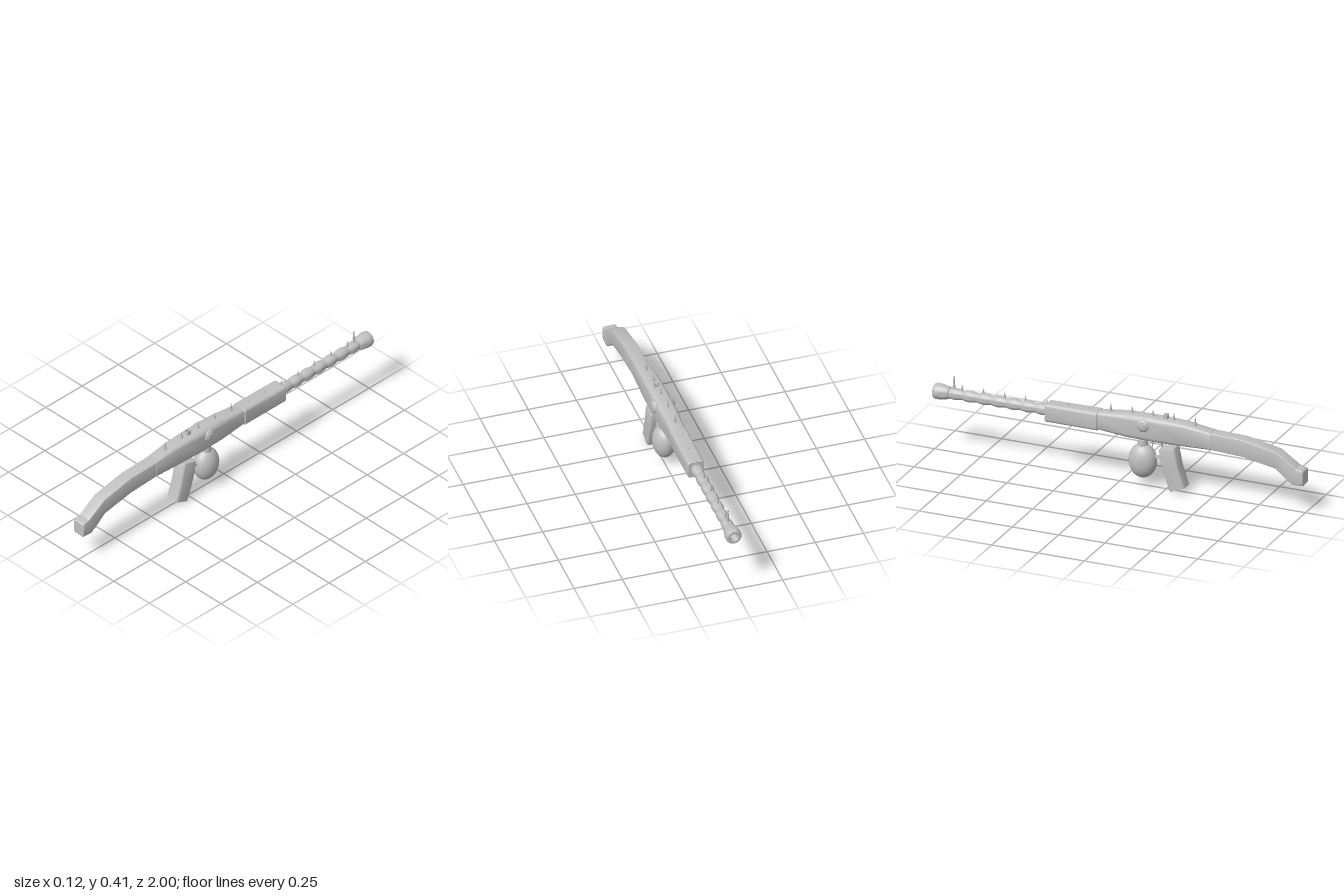
import * as THREE from 'three';
import { toCreasedNormals } from 'three/addons/utils/BufferGeometryUtils.js';

const AXIS_Y = 0.315; // height of the barrel axis

// Rounded cross-sections, each [zTop, yTop, zBottom, yBottom, halfWidth, cornerRadius], joined and capped
function loft(sections, steps = 4, crease = 0.5) {
  const pos = [], index = [], n = 4 * (steps + 1);
  for (const [zt, yt, zb, yb, w, r] of sections) {
    const half = Math.hypot(zt - zb, yt - yb) / 2;
    for (let c = 0; c < 4; c++) {
      for (let s = 0; s <= steps; s++) {
        const a = (c + s / steps) * Math.PI / 2;
        const x = (c === 0 || c === 3 ? 1 : -1) * (w - r) + Math.cos(a) * r;
        const v = (c < 2 ? 1 : -1) * (half - r) + Math.sin(a) * r;
        const t = (v / half + 1) / 2;
        pos.push(x, yb + (yt - yb) * t, zb + (zt - zb) * t);
      }
    }
  }
  const last = (sections.length - 1) * n;
  for (let k = 0; k < last; k += n) {
    for (let i = 0; i < n; i++) {
      const j = (i + 1) % n;
      index.push(k + i, k + n + i, k + j, k + n + i, k + n + j, k + j);
    }
  }
  for (let i = 1; i < n - 1; i++) {
    index.push(0, i, i + 1, last, last + i + 1, last + i);
  }
  const g = new THREE.BufferGeometry();
  g.setAttribute('position', new THREE.Float32BufferAttribute(pos, 3));
  g.setIndex(index);
  return toCreasedNormals(g, crease);
}

// Turned shape running along -z, from [radius, distance] pairs
function turned(profile, crease = 0.6) {
  const g = new THREE.LatheGeometry(profile.map(([r, d]) => new THREE.Vector2(r, d)), 24);
  g.rotateX(-Math.PI / 2);
  return toCreasedNormals(g, crease);
}

export function createModel() {
  const model = new THREE.Group();
  const grey = new THREE.MeshStandardMaterial({ color: 0xc0c0c0 });
  grey.name = 'plain grey';

  const add = (name, geometry, x = 0, y = 0, z = 0) => {
    const mesh = new THREE.Mesh(geometry, grey);
    mesh.name = name;
    mesh.position.set(x, y, z);
    model.add(mesh);
    return mesh;
  };

  // Bent stock and its butt pad
  add('stock', loft([
    [0.962, 0.24, 0.92, 0.165, 0.034, 0.006],
    [0.857, 0.31, 0.85, 0.224, 0.035, 0.006],
    [0.675, 0.346, 0.675, 0.256, 0.035, 0.006],
    [0.48, 0.352, 0.48, 0.266, 0.035, 0.006],
  ], 3));
  add('buttPad', loft([
    [1.0, 0.228, 1.0, 0.158, 0.031, 0.008],
    [0.994, 0.234, 0.996, 0.153, 0.035, 0.01],
    [0.96, 0.241, 0.94, 0.152, 0.035, 0.008],
    [0.95, 0.238, 0.92, 0.168, 0.033, 0.008],
  ], 3));

  // Swelling receiver body
  add('receiver', loft([
    [0.5, 0.354, 0.5, 0.262, 0.037, 0.014],
    [0.36, 0.375, 0.36, 0.256, 0.043, 0.022],
    [0.2, 0.381, 0.2, 0.252, 0.047, 0.026],
    [0.05, 0.379, 0.05, 0.254, 0.046, 0.026],
    [-0.12, 0.358, -0.12, 0.269, 0.037, 0.016],
  ], 5));

  // Forend sleeve
  add('forend', loft([
    [-0.105, 0.356, -0.105, 0.268, 0.038, 0.014],
    [-0.11, 0.361, -0.11, 0.264, 0.043, 0.016],
    [-0.385, 0.357, -0.385, 0.264, 0.043, 0.016],
    [-0.39, 0.354, -0.39, 0.267, 0.04, 0.014],
  ]));

  // Barrel made of seven soft swells
  const swells = [];
  for (let i = 0; i <= 84; i++) {
    swells.push([0.0235 + 0.0065 * Math.abs(Math.sin(i / 12 * Math.PI)), 0.375 + i * 0.55 / 84]);
  }
  add('barrel', turned(swells), 0, AXIS_Y);

  // Flared, hollow muzzle
  add('muzzle', turned([
    [0.02, 0.915], [0.03, 0.918], [0.034, 0.93], [0.038, 0.95], [0.041, 0.97],
    [0.041, 0.985], [0.037, 0.997], [0.033, 1.0], [0.022, 1.0], [0.019, 0.995],
    [0.018, 0.94], [0, 0.94],
  ]), 0, AXIS_Y);

  // Spikes along the top: [z, base height, tip height, radius]
  const spikes = [
    [0.405, 0.363, 0.417, 0.009], [0.29, 0.372, 0.417, 0.009], [0.177, 0.374, 0.417, 0.009],
    [0.065, 0.372, 0.417, 0.009], [-0.05, 0.36, 0.415, 0.009],
    [-0.165, 0.355, 0.376, 0.005], [-0.28, 0.353, 0.376, 0.005],
    [-0.395, 0.335, 0.375, 0.008], [-0.51, 0.335, 0.375, 0.008], [-0.622, 0.335, 0.375, 0.008],
    [-0.737, 0.335, 0.375, 0.008], [-0.852, 0.335, 0.375, 0.008],
  ];
  for (const [z, base, tip, r] of spikes) {
    add('spike', new THREE.ConeGeometry(r, tip - base, 12), 0, (base + tip) / 2, z);
  }

  // Front sight post
  add('frontSightPost', new THREE.CylinderGeometry(0.003, 0.008, 0.07, 10), 0, 0.37, -0.895);
  add('frontSightBead', new THREE.SphereGeometry(0.005, 10, 8), 0, 0.404, -0.895);

  // Notched rear sight
  add('rearSightBase', new THREE.BoxGeometry(0.022, 0.016, 0.02), 0, 0.384, 0.248);
  for (const side of [-1, 1]) {
    add('rearSightEar', new THREE.BoxGeometry(0.007, 0.014, 0.02), side * 0.0075, 0.396, 0.248);

    // Domed boss on each flank with a ring of small studs
    const boss = add('sideBoss', new THREE.SphereGeometry(1, 24, 16), side * 0.042, 0.337, 0.142);
    boss.scale.set(0.018, 0.034, 0.034);
    for (let i = 0; i < 5; i++) {
      const a = i / 5 * Math.PI * 2 + 0.3;
      add('bossStud', new THREE.SphereGeometry(0.004, 8, 6),
        side * 0.056, 0.337 + Math.sin(a) * 0.019, 0.142 + Math.cos(a) * 0.019);
    }
  }

  // Curved grip hanging below the receiver
  add('grip', loft([
    [0.222, 0.22, 0.303, 0.237, 0.034, 0.01],
    [0.222, 0.212, 0.308, 0.228, 0.037, 0.012],
    [0.234, 0.135, 0.325, 0.14, 0.037, 0.012],
    [0.254, 0.075, 0.343, 0.085, 0.037, 0.012],
    [0.281, 0.002, 0.36, 0.034, 0.037, 0.012],
  ]));

  // Small prongs and link between grip and bulb
  for (const [z, y] of [[0.225, 0.225], [0.175, 0.228]]) {
    const prong = add('prong', new THREE.ConeGeometry(0.008, 0.045, 10), 0, y, z);
    prong.rotation.x = Math.PI;
  }
  add('link', new THREE.BoxGeometry(0.016, 0.012, 0.05), 0, 0.165, 0.208);

  // Egg-shaped bulb and its neck
  const bulb = add('bulb', new THREE.SphereGeometry(1, 32, 24), 0, 0.135, 0.123);
  bulb.scale.set(0.058, 0.091, 0.073);
  add('bulbNeck', new THREE.CylinderGeometry(0.025, 0.028, 0.04, 20), 0, 0.225, 0.123);

  return model;
}
